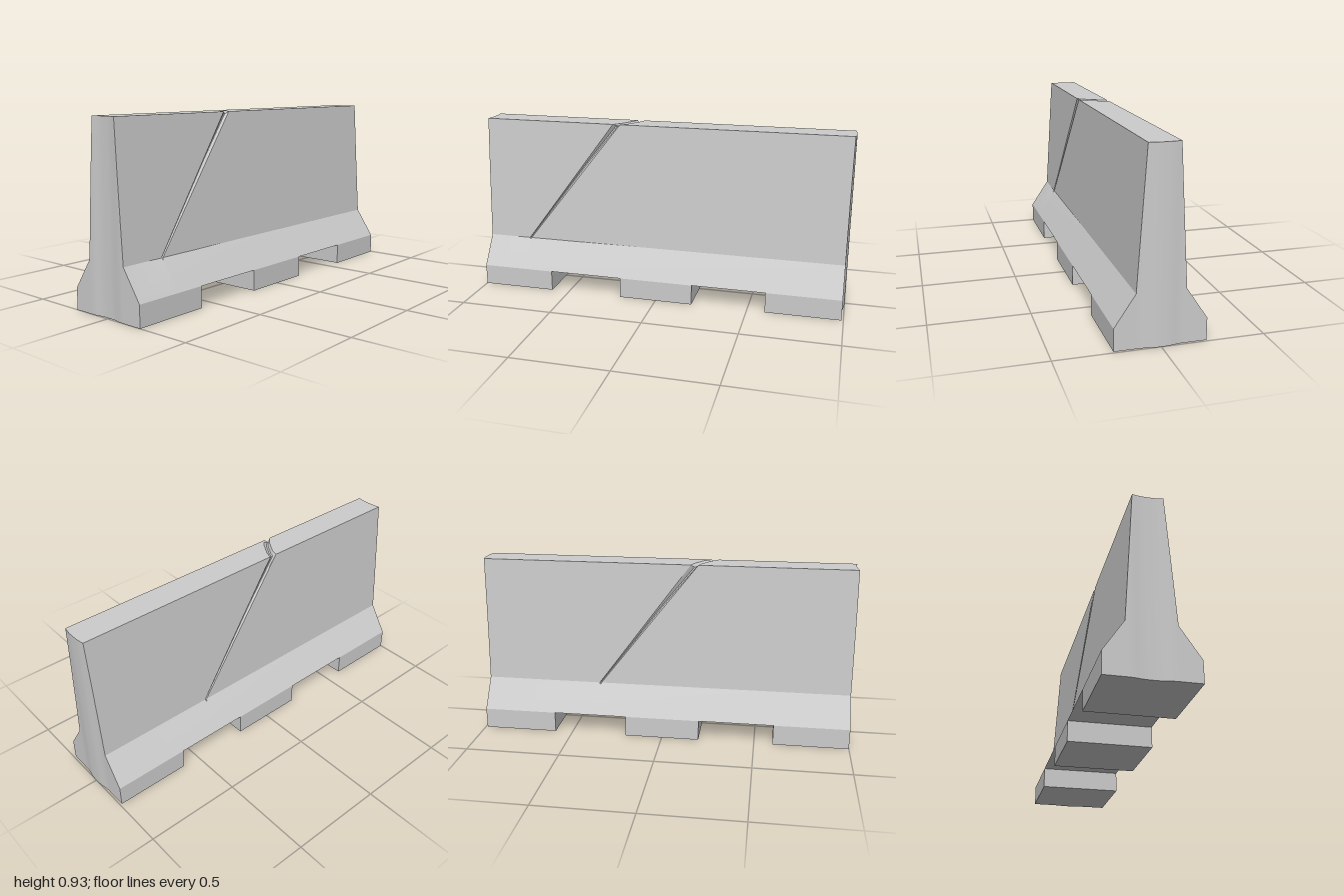
import * as THREE from 'three';
import { toCreasedNormals } from 'three/addons/utils/BufferGeometryUtils.js';

const FOOT = 0.11, HALF = 0.22;
const mat = new THREE.MeshStandardMaterial({ color: 0xcccccc });

// piecewise linear lookup in a list of [z, value], z falling
function lookup(table, z) {
  for (let i = 0; i < table.length - 1; i++) {
    const [z0, v0] = table[i], [z1, v1] = table[i + 1];
    if (z <= z0 && z >= z1) return v0 + (v1 - v0) * (z0 - z) / (z0 - z1);
  }
  return table[table.length - 1][1];
}

// cross-section height, and the run of the diagonal groove over front, top and back
const HEIGHT = [[HALF, FOOT], [0.118, 0.263], [0.075, 0.932], [0, 0.932]];
const GROOVE_X = [[HALF, -0.76], [0.118, -0.76], [0.075, -0.25], [0.04, -0.215], [0, -0.19],
  [-0.04, -0.165], [-0.075, -0.155], [-0.118, 0.355], [-HALF, 0.355]];
const GROOVE_W = [[HALF, 0.001], [0.125, 0.001], [0.118, 0.005], [0.075, 0.02], [0, 0.02]];
const GROOVE_D = [[HALF, 0], [0.125, 0], [0.118, 0.005], [0.075, 0.013], [0, 0.013]];

// tongue on the right end, matching hollow on the left end
const tongue = z => 0.01 * (1 - THREE.MathUtils.smoothstep(Math.abs(z), 0.02, 0.105));
const leftX = z => -1 + tongue(z);
const rightX = z => 0.99 + tongue(z);

const halfRows = [HALF, 0.125, 0.118, 0.105, 0.09, 0.075, 0.055, 0.035, 0.018];
const rows = [...halfRows, 0, ...halfRows.map(z => -z).reverse()];

// one line of surface points from the left end to the right end, dipping into the groove
function surfaceRow(z) {
  const a = Math.abs(z), y = lookup(HEIGHT, a), x = lookup(GROOVE_X, z);
  const w = lookup(GROOVE_W, a), d = lookup(GROOVE_D, a);
  const inZ = a > 0.074 ? z - Math.sign(z) * d : z;
  const inY = a < 0.076 ? y - d : y;
  return [
    [leftX(z), y, z], [x - w, y, z], [x - w * 0.4, inY, inZ],
    [x + w * 0.1, inY, inZ], [x + w, y, z], [rightX(z), y, z],
  ];
}

function buildBody() {
  const pos = [];
  const tri = (a, b, c) => {
    const [A, B, C] = [a, b, c].map(p => new THREE.Vector3(...p));
    if (B.sub(A).cross(C.sub(A)).length() > 1e-9) pos.push(...a, ...b, ...c);
  };
  const quad = (a, b, c, d) => { tri(a, b, c); tri(a, c, d); };
  for (let r = 0; r < rows.length - 1; r++) {
    const z0 = rows[r], z1 = rows[r + 1];
    const p = surfaceRow(z0), q = surfaceRow(z1), n = p.length - 1;
    for (let c = 0; c < n; c++) quad(p[c], p[c + 1], q[c + 1], q[c]);
    // ends and underside
    const l0 = [leftX(z0), FOOT, z0], l1 = [leftX(z1), FOOT, z1];
    const r0 = [rightX(z0), FOOT, z0], r1 = [rightX(z1), FOOT, z1];
    quad(r0, r1, q[n], p[n]);
    quad(l1, l0, p[0], q[0]);
    quad(l0, l1, r1, r0);
  }
  const geo = new THREE.BufferGeometry();
  geo.setAttribute('position', new THREE.Float32BufferAttribute(pos, 3));
  return toCreasedNormals(geo, 0.4);
}

// foot block whose plan follows the shaped barrier ends
function buildFoot(x0, x1) {
  const plan = [
    ...rows.map(z => new THREE.Vector2(x1(z), -z)),
    ...[...rows].reverse().map(z => new THREE.Vector2(x0(z), -z)),
  ];
  const geo = new THREE.ExtrudeGeometry(new THREE.Shape(plan), { depth: FOOT, bevelEnabled: false });
  geo.rotateX(-Math.PI / 2);
  return toCreasedNormals(geo, 0.4);
}

export function createModel() {
  const group = new THREE.Group();
  group.name = 'concreteBarrier';
  const add = (name, geo) => {
    const mesh = new THREE.Mesh(geo, mat);
    mesh.name = name;
    group.add(mesh);
  };
  add('barrierBody', buildBody());
  add('rightFoot', buildFoot(leftX, () => -0.6));
  add('middleFoot', buildFoot(() => -0.2, () => 0.2));
  add('leftFoot', buildFoot(() => 0.595, rightX));
  return group;
}
